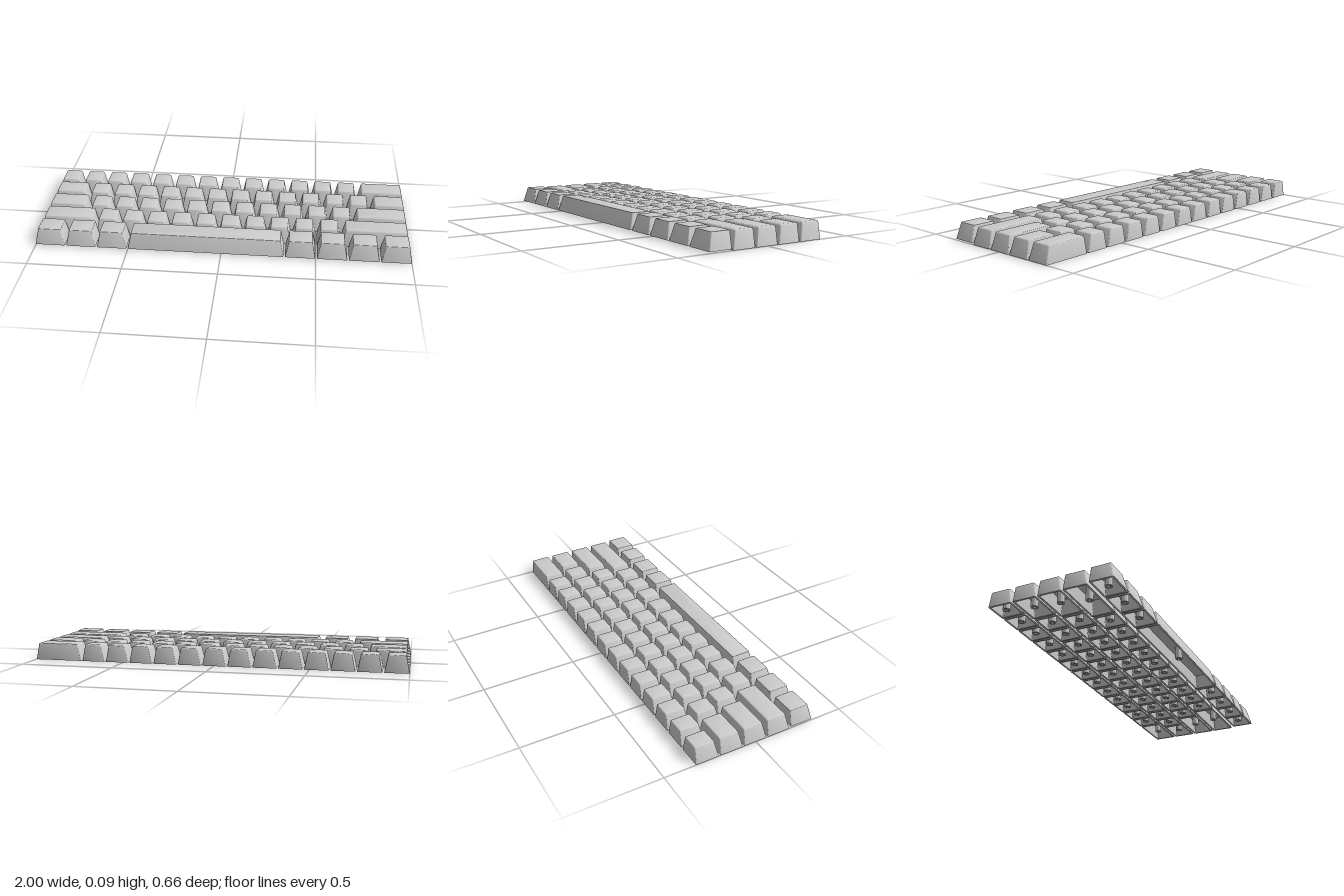
import * as THREE from 'three';
import { toCreasedNormals } from 'three/addons/utils/BufferGeometryUtils.js';

const UNIT = 0.1339;  // pitch of a one-unit key
const GAP = 0.0085;   // space between keys
const SIDE = 0.018;   // inward lean of the left and right faces
const FRONT = 0.022;  // inward lean of the front face (the back is upright)
const WALL = 0.01;

const ROWS = [
  { name: 'numberRow', keys: [...Array(13).fill(1), 2] },
  { name: 'upperRow', keys: [1.5, ...Array(12).fill(1), 1.5] },
  { name: 'homeRow', keys: [1.75, ...Array(11).fill(1), 2.25] },
  { name: 'lowerRow', keys: [2.25, ...Array(10).fill(1), 2.75] },
  { name: 'bottomRow', keys: [1.25, 1.25, 1.25, 6.25, 1.25, 1.25, 1.25, 1.25] },
];

// Rounded-rectangle loop at height y, running anticlockwise seen from above
function ring(width, y, t, inset, r) {
  const hx = width / 2 - SIDE * t - inset;
  const depth = UNIT - GAP;
  const back = -depth / 2 + inset;
  const front = depth / 2 - FRONT * t - inset;
  const corners = [[hx - r, back + r], [-hx + r, back + r], [-hx + r, front - r], [hx - r, front - r]];
  const points = [];
  corners.forEach(([cx, cz], q) => {
    for (let i = 0; i <= 3; i++) {
      const a = (q + i / 3) * Math.PI / 2;
      points.push(new THREE.Vector3(cx + r * Math.cos(a), y, cz - r * Math.sin(a)));
    }
  });
  return points;
}

// Hollow cap: inner ceiling, inner wall, rim, outer wall, bevel and top
function capGeometry(width, y0, top, bevel) {
  const height = top - y0;
  const rings = [
    ring(width, top - 0.014, 0.85, WALL, 0.004),
    ring(width, y0, 0, WALL, 0.004),
    ring(width, y0, 0, 0, 0.006),
  ];
  for (let i = 0; i <= 3; i++) {
    const a = i / 3 * Math.PI / 2;
    const y = top - bevel * (1 - Math.sin(a));
    rings.push(ring(width, y, (y - y0) / height, bevel * (1 - Math.cos(a)), 0.006));
  }
  const out = [];
  const tri = (...pts) => pts.forEach(p => out.push(p.x, p.y, p.z));
  const centre = pts => pts.reduce((s, p) => s.add(p), new THREE.Vector3()).divideScalar(pts.length);
  const n = rings[0].length;
  const first = rings[0], last = rings[rings.length - 1];
  const c0 = centre(first), c1 = centre(last);
  for (let i = 0; i < n; i++) {
    const j = (i + 1) % n;
    for (let k = 0; k < rings.length - 1; k++) {
      const a = rings[k], b = rings[k + 1];
      tri(a[i], a[j], b[j]);
      tri(a[i], b[j], b[i]);
    }
    tri(c0, first[j], first[i]);
    tri(c1, last[i], last[j]);
  }
  const geo = new THREE.BufferGeometry();
  geo.setAttribute('position', new THREE.Float32BufferAttribute(out, 3));
  return toCreasedNormals(geo, 0.6);
}

// Round mounting post with a cross-shaped socket
function stemGeometry(y0, top) {
  const shape = new THREE.Shape().absarc(0, 0, 0.019, 0, Math.PI * 2, false);
  const l = 0.0145, w = 0.0045;
  const cross = [[l, w], [w, w], [w, l], [-w, l], [-w, w], [-l, w],
    [-l, -w], [-w, -w], [-w, -l], [w, -l], [w, -w], [l, -w]];
  shape.holes.push(new THREE.Path(cross.map(([x, y]) => new THREE.Vector2(x, y))));
  const geo = new THREE.ExtrudeGeometry(shape, { depth: top - 0.013 - y0, bevelEnabled: false, curveSegments: 10 });
  return toCreasedNormals(geo.rotateX(-Math.PI / 2).translate(0, y0, 0), 0.7);
}

export function createModel() {
  const model = new THREE.Group();
  model.name = 'keycapSet';
  const material = new THREE.MeshStandardMaterial({ color: 0xcccccc });

  ROWS.forEach((row, r) => {
    const group = new THREE.Group();
    group.name = row.name;
    group.position.z = (r - 2) * UNIT;
    // The bottom row sits slightly higher and has crisper top edges
    const isBottom = r === 4;
    const y0 = isBottom ? 0.007 : 0;
    const top = isBottom ? 0.093 : 0.091;
    const bevel = isBottom ? 0.0015 : 0.007;
    const stem = stemGeometry(y0 + 0.003, top);
    const caps = {};
    let x = -7.5 * UNIT;
    for (const size of row.keys) {
      caps[size] ??= capGeometry(size * UNIT - GAP, y0, top, bevel);
      const key = new THREE.Group();
      key.name = size > 6 ? 'spaceBar' : 'key';
      key.position.x = x + size * UNIT / 2;
      const cap = new THREE.Mesh(caps[size], material);
      cap.name = 'keycap';
      const post = new THREE.Mesh(stem, material);
      post.name = 'stem';
      key.add(cap, post);
      group.add(key);
      x += size * UNIT;
    }
    model.add(group);
  });
  return model;
}
